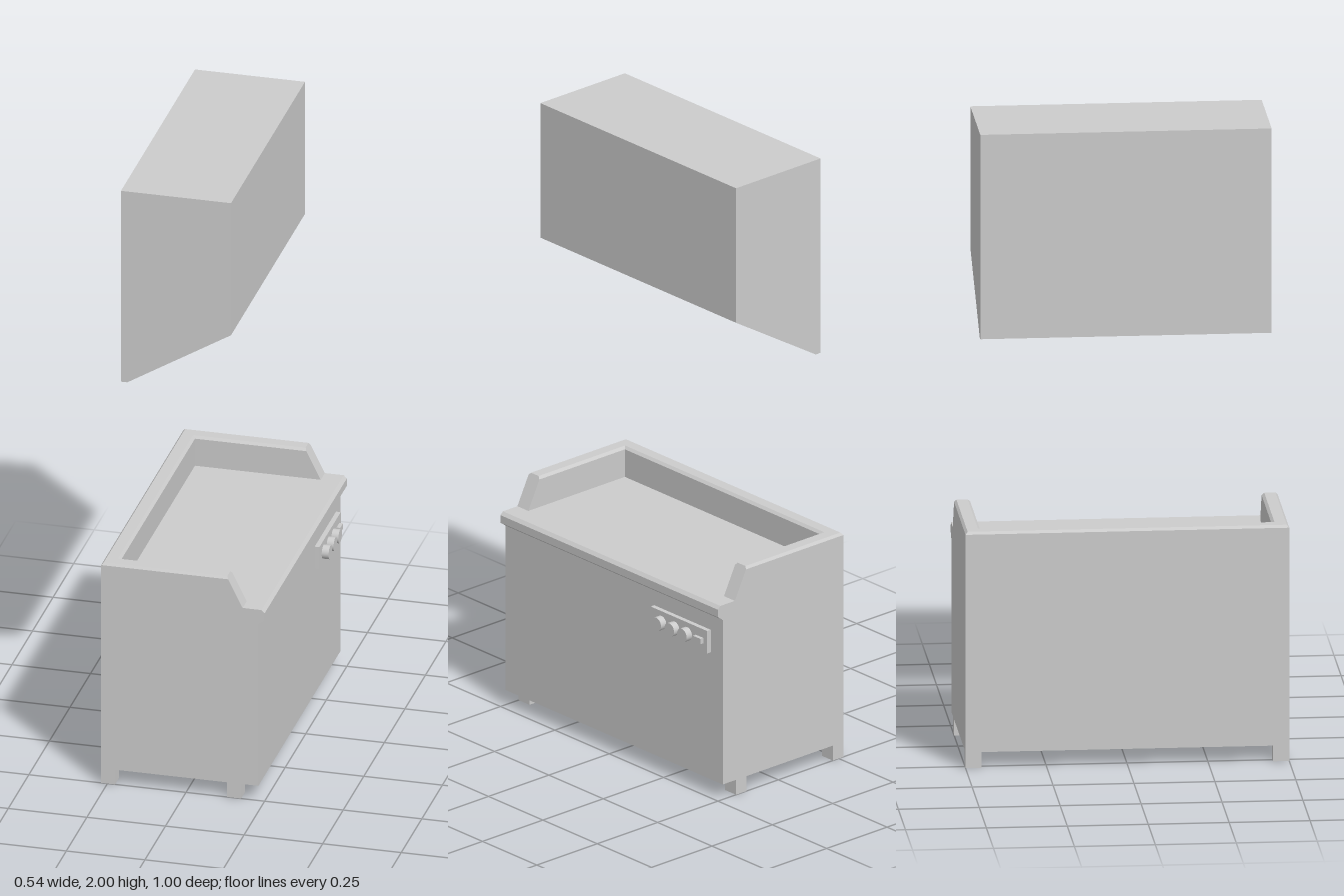
import * as THREE from 'three';

const grey = new THREE.MeshStandardMaterial({ color: 0xcccccc, flatShading: true });
const smooth = new THREE.MeshStandardMaterial({ color: 0xcccccc });

function add(group, name, geometry, x = 0, y = 0, z = 0, material = grey) {
  const mesh = new THREE.Mesh(geometry, material);
  mesh.name = name;
  mesh.position.set(x, y, z);
  group.add(mesh);
  return mesh;
}

// Side profile in x/y, extruded along z and centred on z
function slab(group, name, points, depth, z = 0) {
  const shape = new THREE.Shape(points.map(([x, y]) => new THREE.Vector2(x, y)));
  const geometry = new THREE.ExtrudeGeometry(shape, { depth, bevelEnabled: false });
  return add(group, name, geometry, 0, 0, z - depth / 2);
}

// U-shaped splash guard: chamfered section swept around three sides, with sloped ends
function splashGuardGeometry() {
  const section = [[0, 0.65], [0, 0.742], [0.007, 0.75], [0.042, 0.75], [0.05, 0.742], [0.05, 0.65]];
  const n = section.length;
  const positions = [], index = [];
  for (const [side, end] of [[1, true], [1, false], [-1, false], [-1, true]]) {
    for (const [inset, y] of section) {
      const x = end ? 0.18 - (y - 0.65) * 0.5 : -0.27 + inset;
      positions.push(x, y, side * (0.5 - inset));
    }
  }
  for (let i = 0; i < 3; i++) {
    for (let j = 0; j < n - 1; j++) {
      const a = i * n + j, b = a + n;
      index.push(a, a + 1, b + 1, a, b + 1, b);
    }
  }
  for (let k = 1; k < n - 1; k++) {
    index.push(0, k + 1, k, 3 * n, 3 * n + k, 3 * n + k + 1);
  }
  const geometry = new THREE.BufferGeometry();
  geometry.setAttribute('position', new THREE.Float32BufferAttribute(positions, 3));
  geometry.setIndex(index);
  const flat = geometry.toNonIndexed();
  flat.computeVertexNormals();
  return flat;
}

function createGriddle() {
  const group = new THREE.Group();
  group.name = 'griddle';

  // Cabinet with the projecting front lip
  slab(group, 'cabinet', [
    [-0.27, 0.05], [0.23, 0.05], [0.23, 0.6], [0.25, 0.615],
    [0.25, 0.64], [0.24, 0.65], [-0.27, 0.65],
  ], 1);
  add(group, 'splashGuard', splashGuardGeometry());

  // Feet
  for (const x of [-0.248, 0.153]) {
    for (const z of [-0.475, 0.475]) {
      add(group, 'foot', new THREE.BoxGeometry(0.044, 0.05, 0.05), x, 0.025, z);
    }
  }

  // Control panel, knobs and switch
  add(group, 'controlPanel', new THREE.BoxGeometry(0.015, 0.075, 0.26), 0.2375, 0.5125, -0.315);
  for (const z of [-0.235, -0.295, -0.353]) {
    const knob = add(group, 'knob', new THREE.CylinderGeometry(0.022, 0.022, 0.024, 24), 0.255, 0.5125, z, smooth);
    knob.rotation.z = -Math.PI / 2;
  }
  add(group, 'powerSwitch', new THREE.BoxGeometry(0.014, 0.018, 0.034), 0.25, 0.5125, -0.41);
  return group;
}

function createHood() {
  const group = new THREE.Group();
  group.name = 'extractorHood';

  // Hollow shell, open along the sloping underside
  const slope = (x) => 1.35 + (x + 0.2) * (0.2 / 0.33);
  for (const z of [-0.435, 0.435]) {
    slab(group, 'hoodSide', [[-0.22, 1.35], [-0.2, 1.35], [0.13, 1.55], [0.13, 2], [-0.22, 2]], 0.03, z);
  }
  slab(group, 'hoodBack', [[-0.22, 1.35], [-0.2, 1.35], [-0.19, slope(-0.19)], [-0.19, 2], [-0.22, 2]], 0.84);
  slab(group, 'hoodFront', [[0.1, slope(0.1)], [0.13, 1.55], [0.13, 2], [0.1, 2]], 0.84);
  add(group, 'hoodTop', new THREE.BoxGeometry(0.29, 0.03, 0.84), -0.045, 1.985, 0);

  // Grille inside the hood
  for (const x of [0.06, -0.02, -0.1]) {
    add(group, 'grilleRail', new THREE.BoxGeometry(0.014, 0.014, 0.84), x, 1.6, 0);
  }
  for (let i = -3; i <= 3; i++) {
    add(group, 'grilleBar', new THREE.BoxGeometry(0.29, 0.014, 0.014), -0.045, 1.6, i * 0.13);
  }
  return group;
}

export function createModel() {
  const model = new THREE.Group();
  model.name = 'griddleWithHood';
  model.add(createGriddle(), createHood());
  return model;
}
